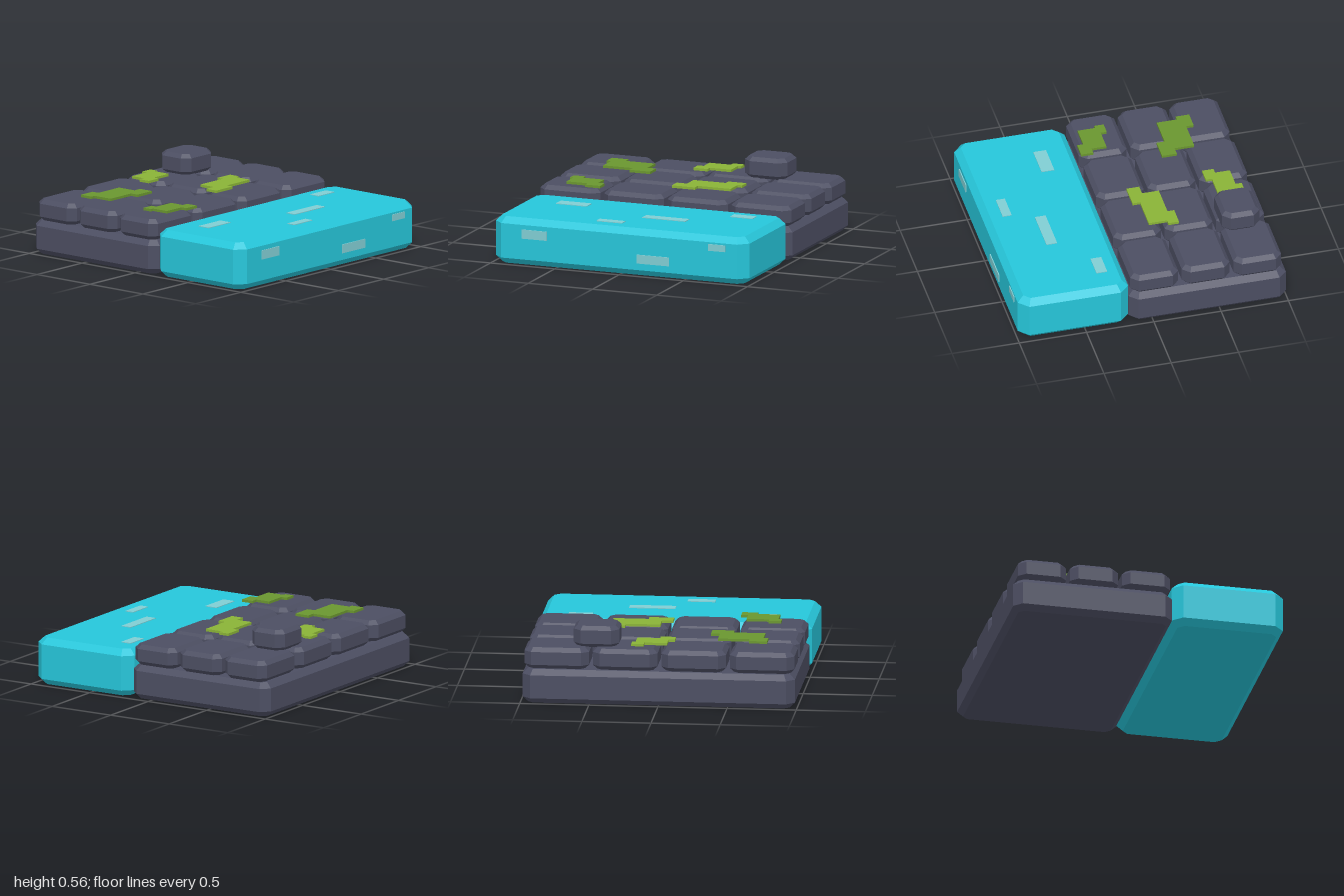
import * as THREE from 'three';

const mat = (name, color) => {
  const m = new THREE.MeshStandardMaterial({ color });
  m.name = name;
  return m;
};

// Block with clipped vertical corners (cut) and bevelled top and bottom (bevel)
function chamferedBlock([x0, x1], [y0, y1], [z0, z1], cut, bevel) {
  const w = (x1 - x0) / 2 - bevel, d = (z1 - z0) / 2 - bevel;
  const c = cut - bevel * (2 - Math.SQRT2);
  const shape = new THREE.Shape([
    [w - c, -d], [w, -d + c], [w, d - c], [w - c, d],
    [-w + c, d], [-w, d - c], [-w, -d + c], [-w + c, -d],
  ].map(([x, y]) => new THREE.Vector2(x, y)));
  const geo = new THREE.ExtrudeGeometry(shape, {
    depth: y1 - y0 - 2 * bevel, bevelEnabled: true, bevelSegments: 1,
    bevelSize: bevel, bevelThickness: bevel,
  });
  geo.rotateX(-Math.PI / 2);
  return geo.translate((x0 + x1) / 2, y0 + bevel, (z0 + z1) / 2);
}

// Thin stepped patch: a main rectangle with a tab at two opposite corners.
// Each rectangle is [xa, xb, z0, z1], with x running from first tab to second.
function steppedPatch(m, a, b, y, thick) {
  const pts = [
    [a[0], a[2]], [a[1], a[2]], [a[1], m[2]], [m[1], m[2]], [m[1], b[2]], [b[1], b[2]],
    [b[1], b[3]], [b[0], b[3]], [b[0], m[3]], [m[0], m[3]], [m[0], a[3]], [a[0], a[3]],
  ];
  const shape = new THREE.Shape(pts.map(([x, z]) => new THREE.Vector2(x, -z)));
  const geo = new THREE.ExtrudeGeometry(shape, { depth: thick, bevelEnabled: false });
  return geo.rotateX(-Math.PI / 2).translate(0, y, 0);
}

function boxBetween([x0, x1], [y0, y1], [z0, z1]) {
  return new THREE.BoxGeometry(x1 - x0, y1 - y0, z1 - z0)
    .translate((x0 + x1) / 2, (y0 + y1) / 2, (z0 + z1) / 2);
}

export function createModel() {
  const model = new THREE.Group();
  model.name = 'stoneAndWaterTile';
  const stone = mat('slate stone', 0x4c4e62);
  const water = mat('cyan water', 0x26c6da);
  const glint = mat('pale glint', 0x80cdd3);
  const mossLight = mat('light moss', 0x8ab337);
  const mossDark = mat('dark moss', 0x6a962f);

  const add = (name, geo, material, parent = model) => {
    const mesh = new THREE.Mesh(geo, material);
    mesh.name = name;
    parent.add(mesh);
  };
  const addGroup = (name) => {
    const g = new THREE.Group();
    g.name = name;
    model.add(g);
    return g;
  };

  // Two main slabs
  add('waterSlab', chamferedBlock([-0.99, 0.985], [0, 0.345], [0.17, 0.99], 0.07, 0.045), water);
  add('stoneBase', chamferedBlock([-0.985, 0.985], [0, 0.25], [-1, 0.17], 0.06, 0.04), stone);

  // Grid of paving stones
  const paving = addGroup('pavingStones');
  for (let row = 0; row < 3; row++) {
    for (let col = 0; col < 4; col++) {
      const x = -0.745 + col * 0.495, z = -0.022 - row * 0.383;
      add('pavingStone', chamferedBlock([x - 0.234, x + 0.234], [0.25, row ? 0.405 : 0.4],
        [z - 0.178, z + 0.178], 0.052, 0.03), stone, paving);
    }
  }
  add('looseStone', chamferedBlock([0.295, 0.625], [0.4, 0.555], [-0.895, -0.615], 0.055, 0.028), stone);

  // Moss patches just above the paving
  const moss = addGroup('mossPatches');
  [
    [mossDark, [-0.725, -0.4, -0.66, -0.465], [-0.76, -0.63, -0.715, -0.615], [-0.495, -0.335, -0.515, -0.405]],
    [mossDark, [-0.775, -0.545, -0.045, 0.11], [-0.8, -0.71, -0.09, -0.02], [-0.61, -0.495, 0.065, 0.155]],
    [mossLight, [0.18, -0.05, -0.835, -0.685], [0.205, 0.115, -0.88, -0.815], [0.015, -0.095, -0.725, -0.64]],
    [mossLight, [0.41, 0.055, -0.28, -0.115], [0.445, 0.305, -0.33, -0.25], [0.155, -0.025, -0.155, -0.06]],
  ].forEach(([material, main, tabA, tabB]) =>
    add('mossPatch', steppedPatch(main, tabA, tabB, 0.415, 0.018), material, moss));

  // Glints on the top of the water: x range, z range
  const glints = addGroup('waterGlints');
  [
    [[-0.715, -0.475], [0.36, 0.455]],
    [[0.605, 0.78], [0.29, 0.37]],
    [[0.03, 0.365], [0.555, 0.635]],
    [[-0.235, -0.035], [0.79, 0.857]],
  ].forEach(([x, z]) => add('topGlint', boxBetween(x, [0.343, 0.35], z), glint, glints));

  // Glints on the front of the water: x range, y range
  [
    [[-0.76, -0.565], [0.2, 0.267]],
    [[0.135, 0.387], [0.095, 0.16]],
    [[0.69, 0.825], [0.238, 0.287]],
  ].forEach(([x, y]) => add('frontGlint', boxBetween(x, y, [0.988, 0.997]), glint, glints));

  return model;
}
